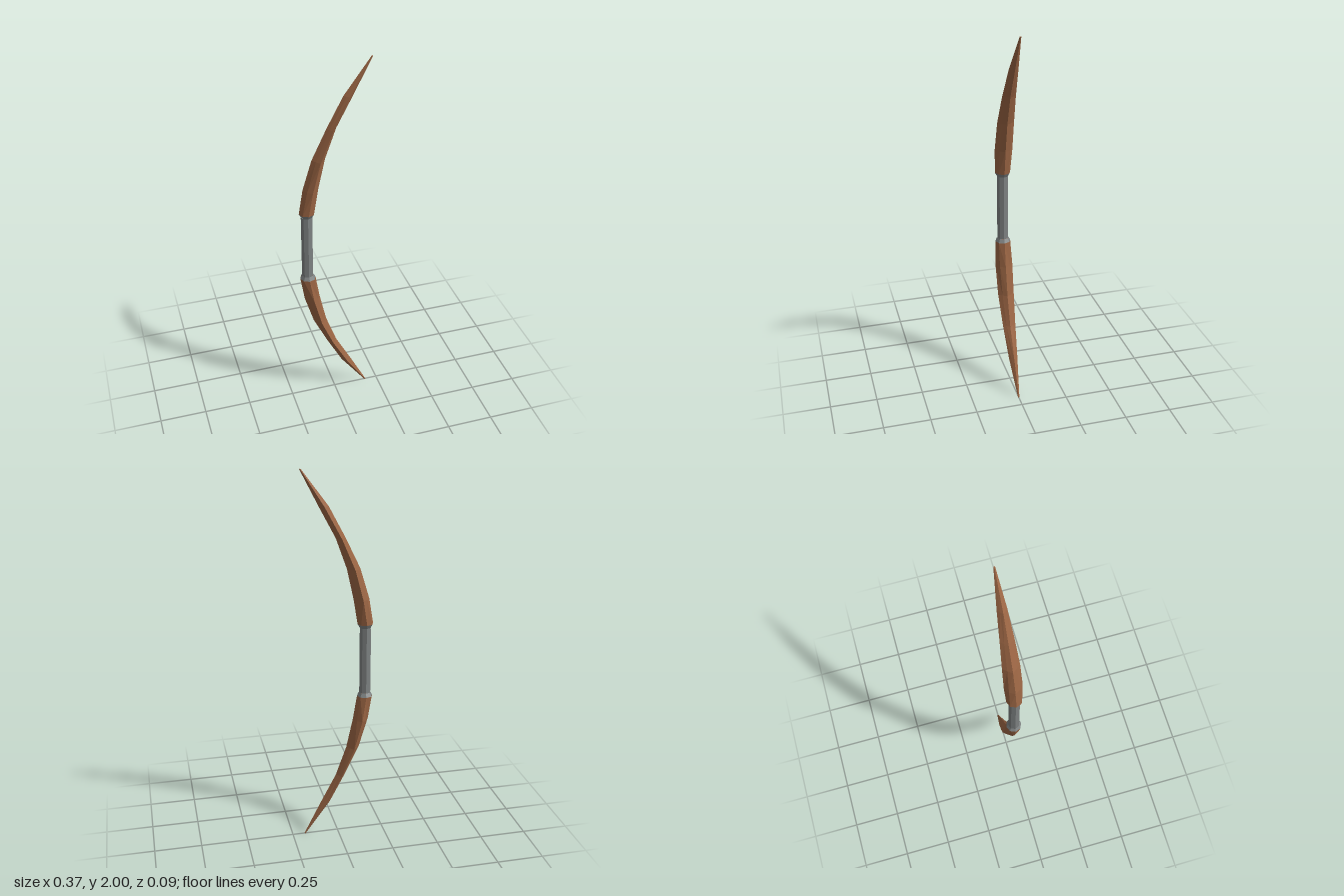
import * as THREE from 'three';

const wood = new THREE.MeshStandardMaterial({ color: 0x9c6644, flatShading: true });
const metal = new THREE.MeshStandardMaterial({ color: 0x7f8383, flatShading: true });

// Limb sections: height above the middle, outer x, inner x, half depth, diagonal corner factor
const SECTIONS = [
  [0.20, -0.188, -0.106, 0.041, 0.71],
  [0.335, -0.166, -0.084, 0.047, 0.6],
  [0.495, -0.118, -0.049, 0.044, 0.53],
  [0.655, -0.042, 0.008, 0.035, 0.52],
  [0.815, 0.042, 0.092, 0.024, 0.52],
  [1.0, 0.178, 0.186, 0.004, 0.52],
];
const SIDES = 8;

// Lofts the eight-sided sections; dir is +1 for the upper limb, -1 for the lower
function limbGeometry(dir) {
  const positions = [];
  const index = [];
  const tri = (a, b, c) => (dir > 0 ? index.push(a, b, c) : index.push(a, c, b));
  for (const [h, outer, inner, depth, diagonal] of SECTIONS) {
    for (let i = 0; i < SIDES; i++) {
      const a = (i / SIDES) * Math.PI * 2;
      const k = i % 2 ? diagonal / Math.SQRT1_2 : 1;
      positions.push(
        (outer + inner) / 2 + (Math.cos(a) * k * (inner - outer)) / 2,
        1 + dir * h,
        Math.sin(a) * k * depth,
      );
    }
  }
  for (let s = 0; s < SECTIONS.length - 1; s++) {
    for (let i = 0; i < SIDES; i++) {
      const a = s * SIDES + i;
      const b = s * SIDES + ((i + 1) % SIDES);
      tri(a, a + SIDES, b);
      tri(b, a + SIDES, b + SIDES);
    }
  }
  // Close the base and the tip
  const last = (SECTIONS.length - 1) * SIDES;
  for (let i = 1; i < SIDES - 1; i++) {
    tri(0, i, i + 1);
    tri(last, last + i + 1, last + i);
  }
  const geometry = new THREE.BufferGeometry();
  geometry.setAttribute('position', new THREE.Float32BufferAttribute(positions, 3));
  geometry.setIndex(index);
  geometry.computeVertexNormals();
  return geometry;
}

export function createModel() {
  const bow = new THREE.Group();
  bow.name = 'bow';

  const add = (name, geometry, material, x = 0, y = 0) => {
    const mesh = new THREE.Mesh(geometry, material);
    mesh.name = name;
    mesh.position.set(x, y, 0);
    bow.add(mesh);
    return mesh;
  };

  // Straight metal grip, corners facing along x and z
  add('grip', new THREE.CylinderGeometry(0.03, 0.03, 0.36, SIDES, 1, true), metal, -0.148, 1);

  // Flared collars and curved limbs, mirrored about the grip
  for (const [side, dir] of [['upper', 1], ['lower', -1]]) {
    const [top, bottom] = dir > 0 ? [0.041, 0.03] : [0.03, 0.041];
    add(`${side}Collar`, new THREE.CylinderGeometry(top, bottom, 0.02, SIDES, 1, true),
      metal, -0.147, 1 + dir * 0.19);
    add(`${side}Limb`, limbGeometry(dir), wood);
  }
  return bow;
}
